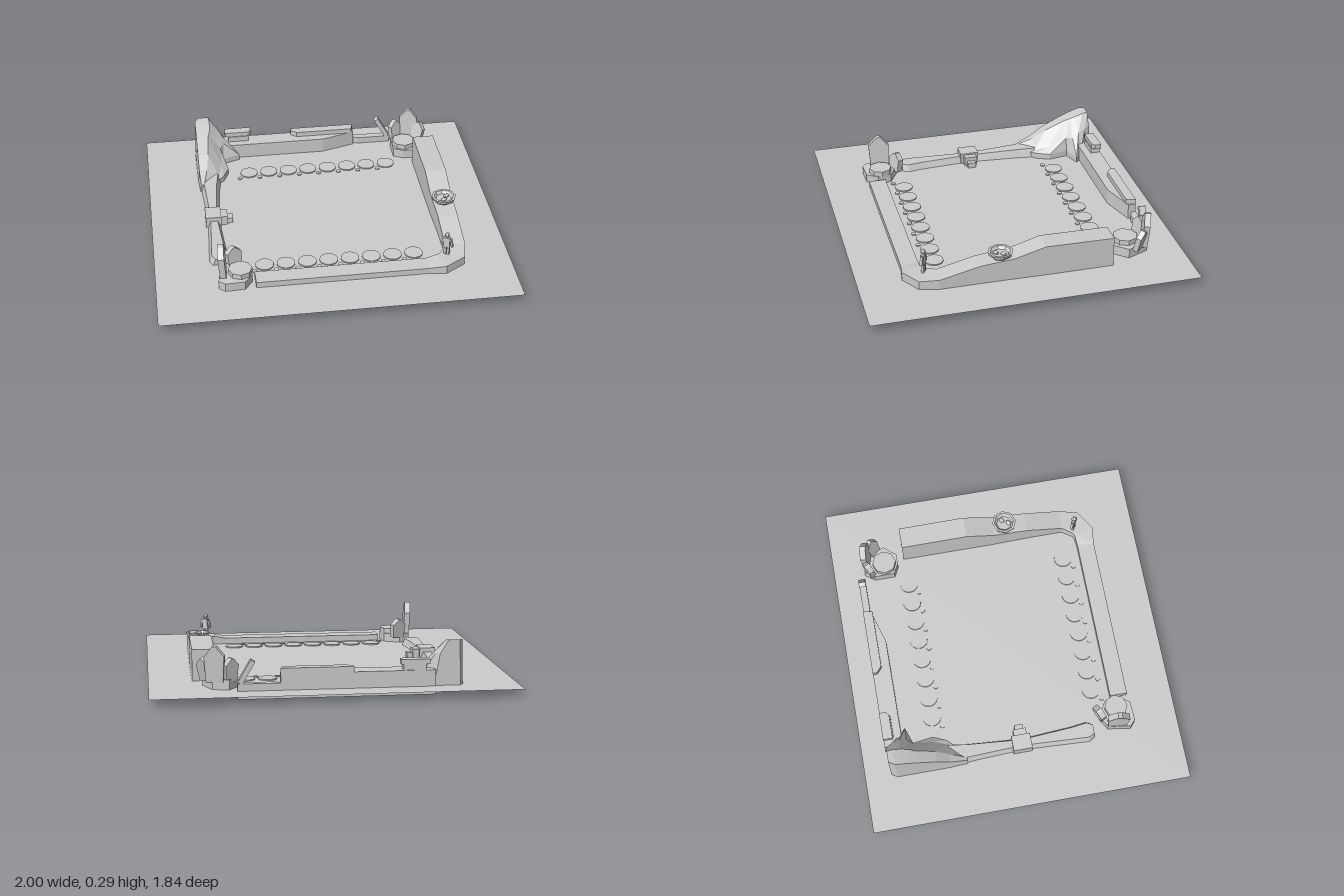
import * as THREE from 'three';

const material = new THREE.MeshStandardMaterial({ color: 0xcccccc, flatShading: true });
const sheetMaterial = new THREE.MeshStandardMaterial({ color: 0xcccccc, flatShading: true, side: THREE.DoubleSide });

function part(parent, name, geometry, x = 0, y = 0, z = 0, mat = material) {
  const mesh = new THREE.Mesh(geometry, mat);
  mesh.name = name;
  mesh.position.set(x, y, z);
  parent.add(mesh);
  return mesh;
}

// Vertical prism from a floor outline of [x, z] points
function prism(outline, y0, y1) {
  const shape = new THREE.Shape(outline.map(([x, z]) => new THREE.Vector2(x, -z)));
  return new THREE.ExtrudeGeometry(shape, { depth: y1 - y0, bevelEnabled: false })
    .rotateX(-Math.PI / 2).translate(0, y0, 0);
}

// Closed solid joining rings of [x, y, z] points, each counter-clockwise seen from the far end
function loft(rings) {
  const n = rings[0].length, last = rings.length - 1, index = [];
  for (let i = 0; i < last; i++) {
    for (let j = 0; j < n; j++) {
      const a = i * n + j, b = i * n + (j + 1) % n;
      index.push(a, b, a + n, b, b + n, a + n);
    }
  }
  for (let j = 1; j < n - 1; j++) {
    index.push(0, j + 1, j, last * n, last * n + j, last * n + j + 1);
  }
  const g = new THREE.BufferGeometry();
  g.setAttribute('position', new THREE.Float32BufferAttribute(rings.flat(2), 3));
  g.setIndex(index);
  const flat = g.toNonIndexed();
  flat.computeVertexNormals();
  return flat;
}

// Upright slab with a pointed top, facing +z before it is turned
function standingStone(parent, width, height, depth, x, y, z, turn, lean = 0) {
  const w = width / 2;
  const shape = new THREE.Shape([
    [-w * 0.85, 0], [w * 0.85, 0], [w, height * 0.7], [w * 0.15, height], [-w * 0.25, height * 0.97], [-w, height * 0.72],
  ].map(([a, b]) => new THREE.Vector2(a, b)));
  const g = new THREE.ExtrudeGeometry(shape, { depth, bevelEnabled: false }).translate(0, 0, -depth / 2);
  const stone = part(parent, 'standingStone', g, x, y, z);
  stone.rotation.set(lean, turn, 0, 'YXZ');
}

export function createModel() {
  const model = new THREE.Group();
  model.name = 'walledBoard';

  // Thin ground sheet
  part(model, 'ground', new THREE.PlaneGeometry(2, 1.84).rotateX(-Math.PI / 2), 0, 0.045, 0, sheetMaterial);

  // Two rows of round spaces with small marker dots
  for (const [z, dotZ] of [[-0.485, -0.432], [0.46, 0.513]]) {
    for (let i = 0; i < 8; i++) {
      const x = -0.385 + i * 0.1215;
      part(model, 'roundSpace', new THREE.CylinderGeometry(0.052, 0.052, 0.014, 24), x, 0.045, z);
      part(model, 'markerDot', new THREE.CylinderGeometry(0.014, 0.014, 0.012, 12), x - 0.06, 0.045, dotZ);
    }
  }

  // Front wall
  part(model, 'frontWall', new THREE.BoxGeometry(0.97, 0.08, 0.1), 0.035, 0.04, 0.61);

  // Left rampart curving into the front wall: inner x, z, outer x, z, top
  const rampart = [
    [0.635, -0.49, 0.76, -0.49, 0.22], [0.635, -0.1, 0.76, -0.1, 0.225],
    [0.635, 0.07, 0.757, 0.07, 0.175], [0.64, 0.27, 0.755, 0.27, 0.155],
    [0.64, 0.485, 0.755, 0.49, 0.103], [0.6, 0.545, 0.73, 0.6, 0.095],
    [0.58, 0.555, 0.615, 0.672, 0.095], [0.52, 0.56, 0.52, 0.66, 0.08],
  ];
  part(model, 'leftRampart', loft(rampart.map(([xi, zi, xo, zo, top]) => [
    [xi, 0.032, zi], [xo, 0.032, zo], [xo, top, zo], [xi, top, zi],
  ])));

  // Bowl with two eggs on the rampart
  const bowl = new THREE.Group();
  bowl.name = 'bowl';
  bowl.position.set(0.7, 0.165, 0.14);
  model.add(bowl);
  const profile = [[0, 0], [0.045, 0], [0.066, 0.018], [0.072, 0.036], [0.058, 0.036], [0.045, 0.02], [0, 0.018]];
  part(bowl, 'bowlShell', new THREE.LatheGeometry(profile.map(([r, y]) => new THREE.Vector2(r, y)), 8), 0, 0, 0, sheetMaterial);
  for (const [x, z] of [[0.018, -0.012], [-0.005, 0.025]]) {
    const egg = part(bowl, 'egg', new THREE.SphereGeometry(0.013, 8, 6), x, 0.027, z);
    egg.scale.set(1.5, 0.8, 1);
    egg.rotation.y = 0.5;
  }

  // Small figure by the front left corner
  const figure = new THREE.Group();
  figure.name = 'figure';
  figure.position.set(0.635, 0.093, 0.555);
  figure.rotation.y = -0.6;
  model.add(figure);
  for (const s of [-1, 1]) {
    part(figure, 'leg', new THREE.BoxGeometry(0.013, 0.055, 0.016), s * 0.009, 0.027, 0);
    part(figure, 'arm', new THREE.BoxGeometry(0.01, 0.05, 0.014), s * 0.027, 0.083, 0).rotation.z = s * 0.25;
  }
  part(figure, 'body', new THREE.BoxGeometry(0.036, 0.06, 0.02), 0, 0.083, 0);
  part(figure, 'head', new THREE.SphereGeometry(0.015, 8, 6), 0, 0.13, 0);

  // Low right wall: z, outer x, inner x, top
  const lowWall = [
    [-0.42, -0.69, -0.56, 0.1], [-0.32, -0.69, -0.575, 0.095], [0, -0.675, -0.6, 0.085],
    [0.3, -0.69, -0.58, 0.085], [0.39, -0.695, -0.568, 0.085], [0.425, -0.675, -0.585, 0.085],
  ];
  part(model, 'rightWall', loft(lowWall.map(([z, a, b, top]) => [
    [a, 0.032, z], [b, 0.032, z], [b - 0.02, top, z], [a + 0.02, top, z],
  ])));

  // Gatehouse in the middle of the right wall
  part(model, 'gatehouse', new THREE.BoxGeometry(0.09, 0.085, 0.11), -0.64, 0.068, 0);
  part(model, 'gateBlock', new THREE.BoxGeometry(0.05, 0.065, 0.075), -0.582, 0.068, 0);
  part(model, 'gateStep', new THREE.BoxGeometry(0.035, 0.035, 0.05), -0.543, 0.06, 0);

  // Rocky peak: z, outer x, foot x, shoulder x, shoulder y, crest x, crest y
  const peak = [
    [-0.768, -0.68, -0.54, -0.565, 0.22, -0.61, 0.295],
    [-0.735, -0.7, -0.52, -0.545, 0.215, -0.605, 0.29],
    [-0.69, -0.7, -0.47, -0.53, 0.2, -0.605, 0.275],
    [-0.65, -0.7, -0.43, -0.525, 0.17, -0.61, 0.26],
    [-0.615, -0.7, -0.53, -0.55, 0.16, -0.62, 0.245],
    [-0.5, -0.7, -0.51, -0.55, 0.11, -0.63, 0.19],
    [-0.42, -0.7, -0.545, -0.575, 0.09, -0.645, 0.135],
    [-0.325, -0.695, -0.65, -0.655, 0.075, -0.67, 0.09],
  ];
  part(model, 'rockyPeak', loft(peak.map(([z, xo, xf, xs, ys, xc, yc]) => [
    [xo, 0.032, z], [xf, 0.032, z], [xf, 0.1 - (yc < 0.1 ? 0.035 : 0.02), z], [xs, ys, z], [xc, yc, z], [xo + 0.008, yc, z],
  ])));

  // Back wall with raised blocks
  part(model, 'backWall', prism([[-0.54, -0.78], [0.3, -0.78], [0.3, -0.735], [0.1, -0.675], [-0.54, -0.675]], 0, 0.135));
  part(model, 'backLowWall', prism([[0.3, -0.78], [0.53, -0.78], [0.53, -0.74], [0.33, -0.74], [0.3, -0.755]], 0, 0.085));
  part(model, 'parapet', prism([[-0.095, -0.78], [0.3, -0.78], [0.285, -0.725], [-0.06, -0.725], [-0.095, -0.755]], 0.135, 0.165));
  part(model, 'turretFoot', prism([[-0.49, -0.775], [-0.365, -0.775], [-0.365, -0.72], [-0.49, -0.72]], 0.135, 0.168));
  part(model, 'turretTop', prism([[-0.51, -0.78], [-0.35, -0.78], [-0.35, -0.74], [-0.37, -0.725], [-0.51, -0.725]], 0.168, 0.195));
  part(model, 'leaningSlab', new THREE.BoxGeometry(0.028, 0.14, 0.04), 0.482, 0.147, -0.758).rotation.z = 0.52;

  // Back left stone circle
  const backCircle = new THREE.Group();
  backCircle.name = 'backStoneCircle';
  model.add(backCircle);
  part(backCircle, 'base', prism([[0.53, -0.56], [0.53, -0.68], [0.57, -0.735], [0.66, -0.72], [0.71, -0.6], [0.65, -0.53], [0.59, -0.53]], 0.035, 0.1));
  part(backCircle, 'dais', new THREE.CylinderGeometry(0.07, 0.07, 0.03, 8), 0.6, 0.115, -0.61);
  standingStone(backCircle, 0.11, 0.2, 0.035, 0.645, 0.085, -0.705, -0.25, -0.08);
  standingStone(backCircle, 0.08, 0.13, 0.035, 0.565, 0.085, -0.7, 0.5, -0.1);
  standingStone(backCircle, 0.08, 0.13, 0.03, 0.69, 0.085, -0.655, -0.8, -0.25);

  // Front right stone circle
  const frontCircle = new THREE.Group();
  frontCircle.name = 'frontStoneCircle';
  model.add(frontCircle);
  part(frontCircle, 'base', prism([[-0.655, 0.64], [-0.62, 0.67], [-0.51, 0.665], [-0.465, 0.6], [-0.48, 0.52], [-0.57, 0.47], [-0.635, 0.51]], 0.035, 0.095));
  part(frontCircle, 'dais', new THREE.CylinderGeometry(0.067, 0.067, 0.03, 8), -0.53, 0.11, 0.575);
  standingStone(frontCircle, 0.125, 0.205, 0.035, -0.622, 0.08, 0.565, Math.PI / 2 - 0.1, -0.06);
  standingStone(frontCircle, 0.09, 0.115, 0.035, -0.555, 0.08, 0.477, 0.45, -0.12);

  return model;
}
